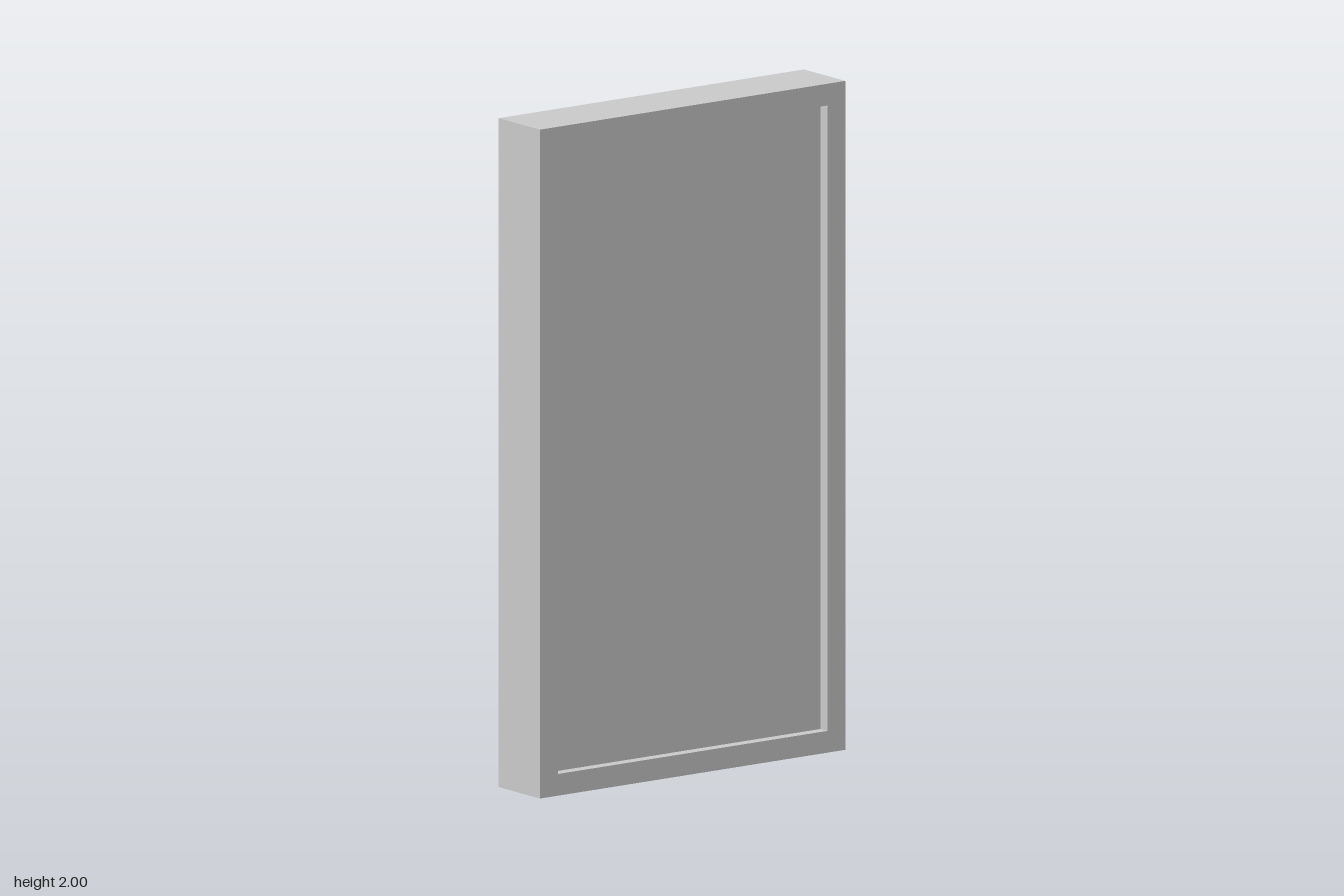
import * as THREE from 'three';

const HEIGHT = 2, WIDTH = 1.12, DEPTH = 0.2; // y, z, x
const BORDER = 0.065, RECESS = 0.034;

export function createModel() {
  const group = new THREE.Group();
  const material = new THREE.MeshStandardMaterial({ color: 0xcccccc, flatShading: true });

  // Rectangle outline centred on the origin
  const rectangle = (Type, w, h) => new Type([
    new THREE.Vector2(-w / 2, -h / 2), new THREE.Vector2(w / 2, -h / 2),
    new THREE.Vector2(w / 2, h / 2), new THREE.Vector2(-w / 2, h / 2),
  ]);
  const innerW = WIDTH - 2 * BORDER, innerH = HEIGHT - 2 * BORDER;

  // Outer frame: extruded rectangle with an opening, turned to face sideways
  const outline = rectangle(THREE.Shape, WIDTH, HEIGHT);
  outline.holes.push(rectangle(THREE.Path, innerW, innerH));
  const frameGeometry = new THREE.ExtrudeGeometry(outline, { depth: DEPTH, bevelEnabled: false });
  frameGeometry.translate(0, 0, -DEPTH / 2).rotateY(Math.PI / 2);
  const frame = new THREE.Mesh(frameGeometry, material);
  frame.name = 'frame';

  // Panel set back from both faces of the frame
  const panel = new THREE.Mesh(new THREE.BoxGeometry(DEPTH - 2 * RECESS, innerH, innerW), material);
  panel.name = 'recessedPanel';

  for (const part of [frame, panel]) {
    part.position.y = HEIGHT / 2;
    group.add(part);
  }
  return group;
}
